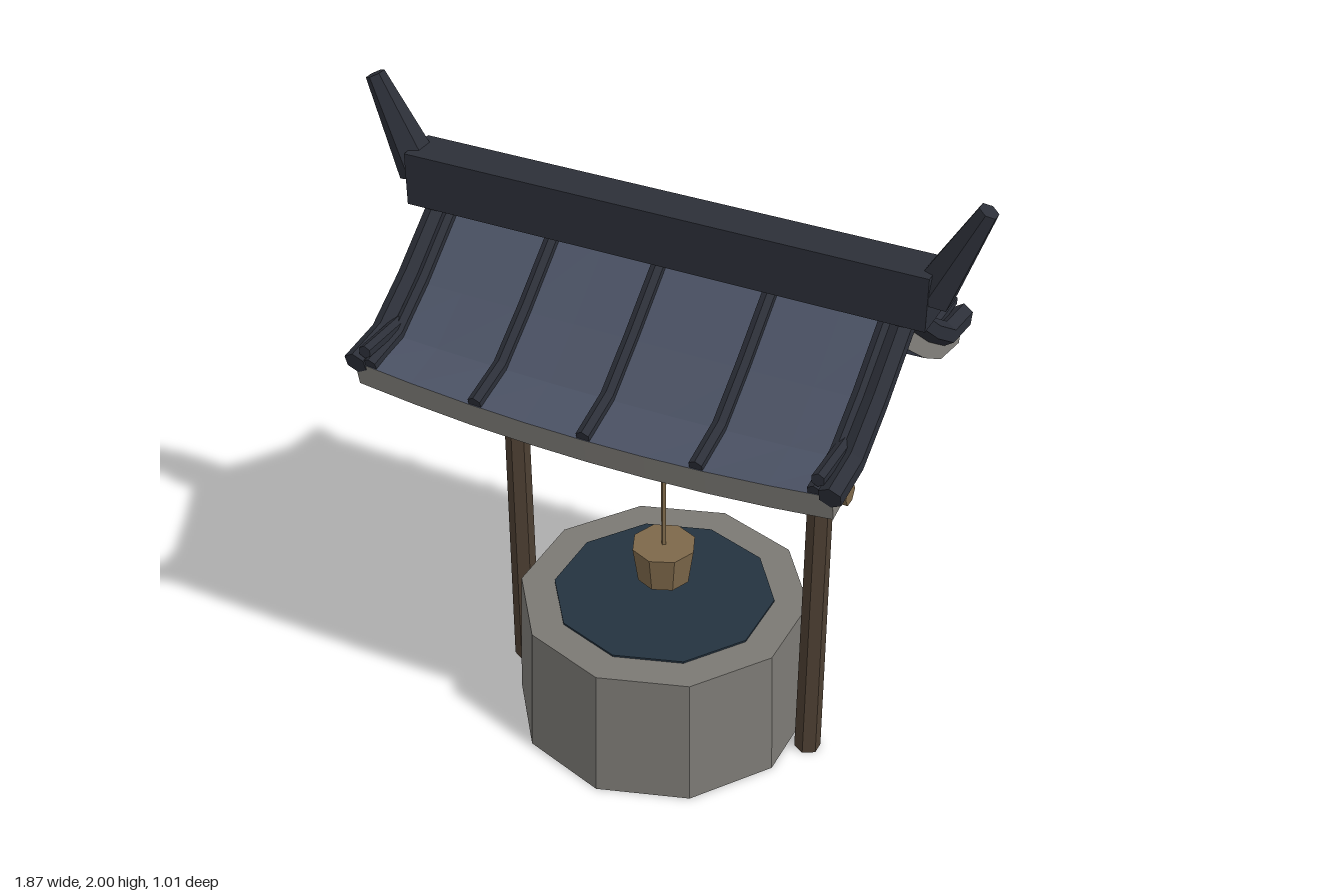
import * as THREE from 'three';

const mat = (color) => new THREE.MeshStandardMaterial({ color, flatShading: true });
const M = {
  stone: mat(0x7b7974), water: mat(0x243340), post: mat(0x4d3f32), wood: mat(0x7d684a),
  plaster: mat(0xb8a888), tile: mat(0x4a5163), ridge: mat(0x2c2f38), trim: mat(0x84827d),
};

// Roof slope sections as [z, y] points from ridge to eave
const TOP = [[0, 1.63], [0.2, 1.47], [0.345, 1.375], [0.49, 1.355]];
const BOTTOM = [[0, 1.525], [0.165, 1.4], [0.315, 1.31], [0.475, 1.275]];

// Point on a slope section; the eave sags towards the middle of the roof
function slope(points, t, x) {
  const i = Math.min(2, Math.floor(t * 3 + 1e-6));
  const f = t * 3 - i;
  const [a, b] = [points[i], points[i + 1]];
  const sag = 0.045 * t * t * (1 - Math.min(1, (x / 0.72) ** 2));
  return [a[0] + (b[0] - a[0]) * f, a[1] + (b[1] - a[1]) * f - sag];
}

function bend(geometry, rule) {
  const p = geometry.attributes.position;
  for (let i = 0; i < p.count; i++) p.setXYZ(i, ...rule(p.getX(i), p.getY(i), p.getZ(i)));
  geometry.computeVertexNormals();
  return geometry;
}

function add(parent, name, geometry, material, x = 0, y = 0, z = 0) {
  const mesh = new THREE.Mesh(geometry, material);
  mesh.name = name;
  mesh.position.set(x, y, z);
  parent.add(mesh);
  return mesh;
}

// Slab with stone-grey edges and tiled faces
function roofSlab() {
  return bend(new THREE.BoxGeometry(1.44, 1, 1, 8, 1, 3), (x, y, z) => {
    const [pz, py] = slope(y > 0 ? TOP : BOTTOM, z + 0.5, x);
    return [x, py, pz];
  });
}

// Rounded rib laid along the slope at x0
function roofRib(x0, rx, ry, lift, extra) {
  return bend(new THREE.CylinderGeometry(1, 1, 1, 6, 3), (x, y, z) => {
    const t = 0.5 - y;
    const [pz, py] = slope(TOP, t, x0);
    return [x0 + x * rx, py + lift + z * ry, pz + t * extra + z * ry * 0.3];
  });
}

function roofSide(name) {
  const side = new THREE.Group();
  side.name = name;
  const { trim, tile } = M;
  add(side, 'roofSlab', roofSlab(), [trim, trim, tile, tile, trim, trim]);
  for (const x of [-0.67, -0.335, 0, 0.335, 0.67]) {
    add(side, 'roofRib', roofRib(x, 0.022, 0.022, 0.008, 0), M.ridge);
  }
  for (const s of [-1, 1]) {
    add(side, 'edgeRib', roofRib(s * 0.715, 0.035, 0.036, 0.0, 0.005), M.ridge);
    const bar = add(side, 'cornerBar', new THREE.CylinderGeometry(0.02, 0.02, 0.2, 6), M.ridge, s * 0.68, 1.4, 0.395);
    bar.rotation.x = Math.PI / 2;
  }
  return side;
}

export function createModel() {
  const model = new THREE.Group();
  model.name = 'well';

  // Stone basin and water
  add(model, 'basin', new THREE.CylinderGeometry(0.448, 0.465, 0.435, 10), M.stone, 0, 0.2175);
  add(model, 'water', new THREE.CylinderGeometry(0.343, 0.343, 0.02, 10), M.water, 0, 0.431);

  // Crossbar, rope and bucket
  const bar = add(model, 'crossbar', new THREE.CylinderGeometry(0.035, 0.035, 1.18, 6), M.wood, 0, 1);
  bar.rotation.z = Math.PI / 2;
  add(model, 'rope', new THREE.CylinderGeometry(0.008, 0.008, 0.4, 5), M.wood, 0, 0.8);
  add(model, 'bucket', new THREE.CylinderGeometry(0.1, 0.083, 0.12, 8), M.wood, 0, 0.562);

  // Gable outline under the curved slopes
  const gable = new THREE.Shape([[-0.31, 1.31], [0.31, 1.31], [0.165, 1.405], [0, 1.53], [-0.165, 1.405]]
    .map(([x, y]) => new THREE.Vector2(x, y)));
  const gableGeometry = new THREE.ExtrudeGeometry(gable, { depth: 0.1, bevelEnabled: false });
  gableGeometry.translate(0, 0, -0.05).rotateY(Math.PI / 2);

  // Posts, gables and ridge horns, mirrored
  for (const s of [-1, 1]) {
    add(model, 'post', new THREE.CylinderGeometry(0.036, 0.041, 1.34, 6), M.post, s * 0.5, 0.67);
    add(model, 'gable', gableGeometry, M.plaster, s * 0.5);
    const horn = add(model, 'ridgeHorn', new THREE.CylinderGeometry(0.029, 0.065, 0.304, 6), M.ridge, s * 0.845, 1.848);
    horn.rotation.z = -s * Math.atan2(0.13, 0.275);
  }

  // Roof
  model.add(roofSide('frontRoof'));
  const back = roofSide('backRoof');
  back.rotation.y = Math.PI;
  model.add(back);
  add(model, 'ridge', new THREE.BoxGeometry(1.58, 0.16, 0.13), M.ridge, 0, 1.71);

  return model;
}
